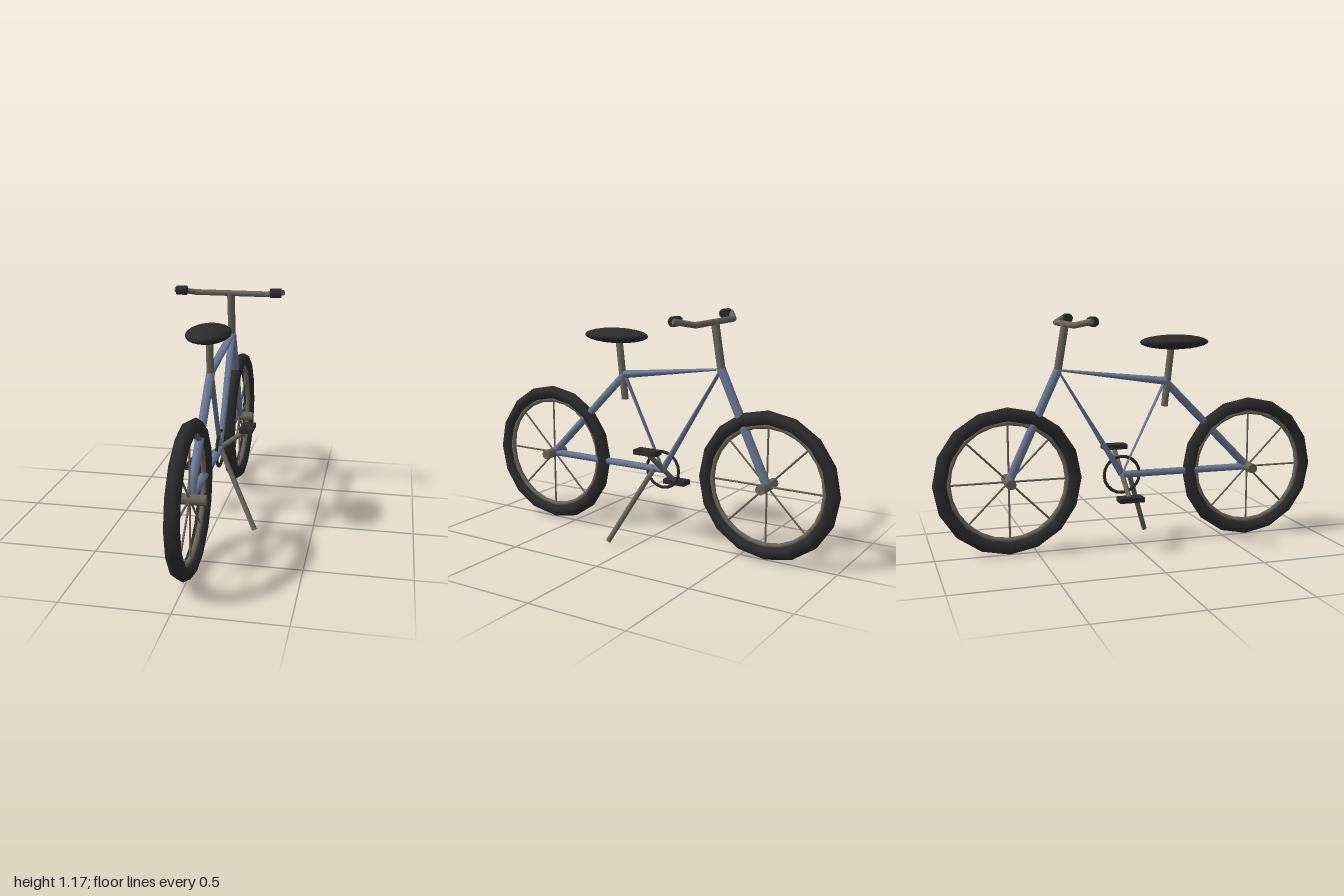
import * as THREE from 'three';

const mat = (name, color) => {
  const m = new THREE.MeshStandardMaterial({ color });
  m.name = name;
  return m;
};

export function createModel() {
  const bike = new THREE.Group();
  bike.name = 'bicycle';
  const paint = mat('blue frame paint', 0x6a7896);
  const metal = mat('dull metal', 0x6a665b);
  const rubber = mat('black rubber', 0x2b2b2b);
  const V = (x, y, z) => new THREE.Vector3(x, y, z);

  const add = (name, geometry, material, parent = bike) => {
    const mesh = new THREE.Mesh(geometry, material);
    mesh.name = name;
    parent.add(mesh);
    return mesh;
  };

  // Round rod between two points
  const rod = (name, a, b, r, material, parent = bike, sides = 10) => {
    const d = b.clone().sub(a);
    const m = add(name, new THREE.CylinderGeometry(r, r, d.length(), sides), material, parent);
    m.position.copy(a).lerp(b, 0.5);
    m.quaternion.setFromUnitVectors(V(0, 1, 0), d.normalize());
    return m;
  };

  // Frame tube in the middle plane; w = half width, t = half thickness, at start and end
  const frameTube = (name, a, b, w0, w1, t0, t1) => {
    const d = b.clone().sub(a), len = d.length();
    const g = new THREE.CylinderGeometry(1, 1, len, 10);
    const p = g.attributes.position;
    for (let i = 0; i < p.count; i++) {
      const k = p.getY(i) / len + 0.5;
      p.setX(i, p.getX(i) * THREE.MathUtils.lerp(w0, w1, k));
      p.setZ(i, p.getZ(i) * THREE.MathUtils.lerp(t0, t1, k));
    }
    g.computeVertexNormals();
    const m = add(name, g, paint);
    const x = V(1, 0, 0), y = d.normalize(), z = x.clone().cross(y);
    m.quaternion.setFromRotationMatrix(new THREE.Matrix4().makeBasis(x, y, z));
    m.position.copy(a).lerp(b, 0.5);
  };

  // Wheels
  const wheel = (name, z) => {
    const w = new THREE.Group();
    w.name = name;
    w.position.set(0, 0.374, z);
    bike.add(w);
    add('tire', new THREE.TorusGeometry(0.33, 0.036, 6, 16).rotateY(Math.PI / 2), rubber, w);
    add('rim', new THREE.TorusGeometry(0.292, 0.013, 6, 24).rotateY(Math.PI / 2), metal, w);
    add('hub', new THREE.CylinderGeometry(0.025, 0.025, 0.152, 10).rotateZ(Math.PI / 2), metal, w);
    for (let i = 0; i < 4; i++) {
      const a = i * Math.PI / 4;
      const tip = V(0, Math.sin(a) * 0.29, Math.cos(a) * 0.29);
      rod('spokePair', tip.clone().negate(), tip, 0.005, metal, w, 6);
    }
  };
  wheel('rearWheel', 0.634);
  wheel('frontWheel', -0.634);

  // Frame
  const rear = V(0, 0.374, 0.634), front = V(0, 0.374, -0.634);
  const seat = V(0, 0.842, 0.17), head = V(0, 0.912, -0.382), crank = V(0, 0.374, -0.058);
  frameTube('seatStay', rear, seat, 0.021, 0.021, 0.02, 0.02);
  frameTube('chainStay', rear, crank, 0.021, 0.021, 0.018, 0.018);
  frameTube('topTube', seat, head, 0.021, 0.021, 0.02, 0.005);
  frameTube('downTube', head, crank, 0.02, 0.014, 0.004, 0.017);
  frameTube('seatTube', seat, crank, 0.014, 0.012, 0.006, 0.003);
  frameTube('fork', head, front, 0.022, 0.022, 0.022, 0.022);

  // Saddle and post
  rod('seatPost', V(0, 0.713, 0.168), V(0, 1.03, 0.205), 0.018, metal);
  const saddle = add('saddle', new THREE.SphereGeometry(1, 24, 12), rubber);
  saddle.scale.set(0.106, 0.037, 0.18);
  saddle.position.set(0, 1.037, 0.22);

  // Stem, handlebar and grips
  rod('stem', head, V(0, 1.135, -0.344), 0.02, metal);
  rod('handlebar', V(-0.192, 1.134, -0.344), V(0.192, 1.134, -0.344), 0.015, metal);
  for (const s of [-1, 1]) {
    rod('handlebarEnd', V(s * 0.188, 1.134, -0.346), V(s * 0.282, 1.155, -0.283), 0.015, metal);
    rod('grip', V(s * 0.218, 1.153, -0.273), V(s * 0.273, 1.153, -0.273), 0.024, rubber);
  }

  // Crank, chainring and pedals
  rod('crankArms', V(-0.14, 0.268, -0.058), V(0.145, 0.488, -0.058), 0.013, metal);
  const ring = add('chainring', new THREE.TorusGeometry(0.093, 0.008, 6, 20).rotateY(Math.PI / 2), rubber);
  ring.position.copy(crank);
  for (const [x, y] of [[0.143, 0.494], [-0.14, 0.277]]) {
    add('pedal', new THREE.BoxGeometry(0.067, 0.024, 0.125), rubber).position.set(x, y, -0.056);
  }

  // Kickstand
  rod('kickstand', V(0.018, 0.374, -0.015), V(0.215, 0.02, 0.134), 0.013, metal);

  return bike;
}
